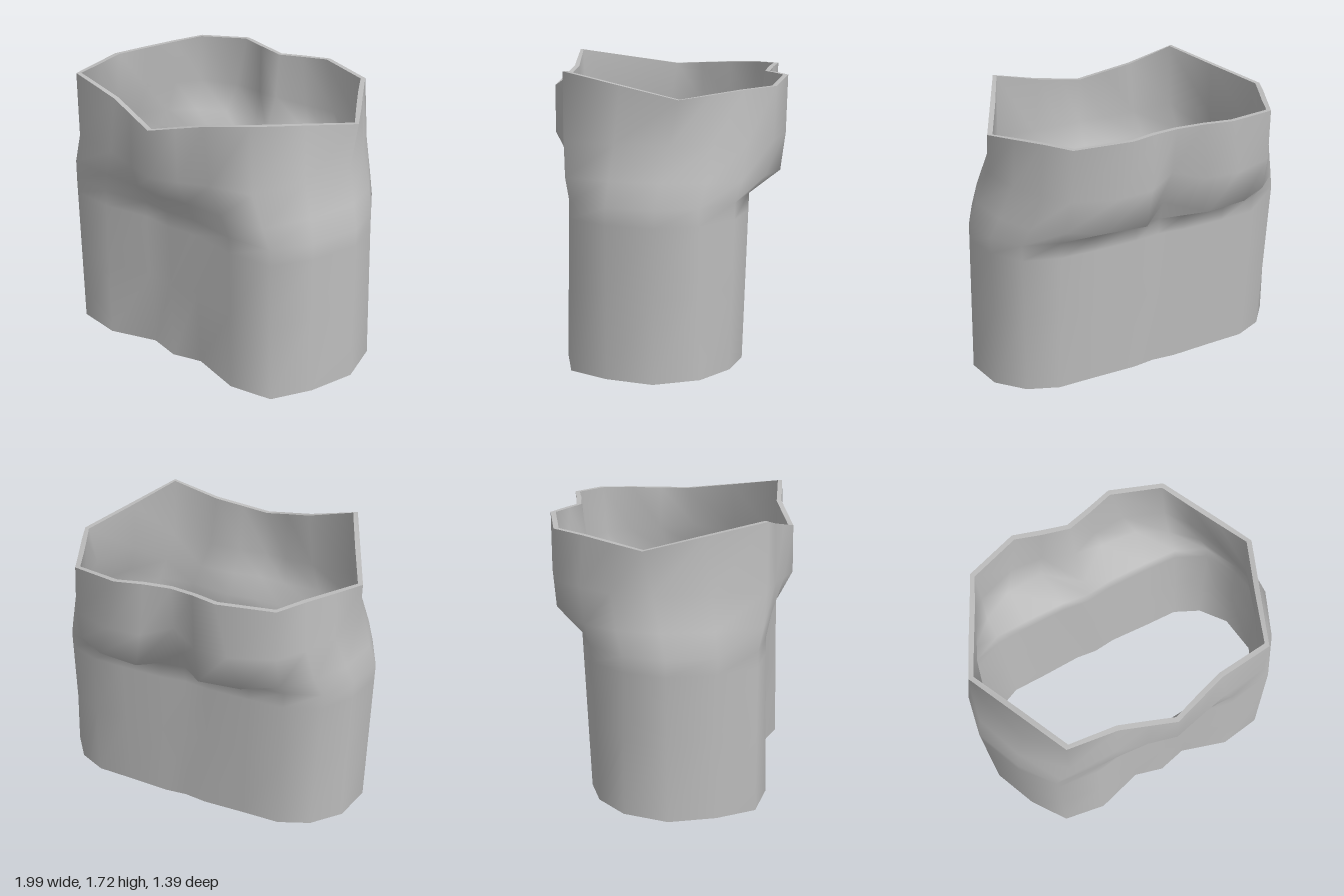
import * as THREE from 'three';

// Half cross-sections [x, y, z], running from front centre round the left side to back centre
const hem = [[0, 0.56], [0.18, 0.515], [0.47, 0.6], [0.73, 0.56], [0.88, 0.35], [0.99, 0.09], [0.95, -0.17],
  [0.81, -0.34], [0.63, -0.42], [0.4, -0.425], [0.14, -0.435], [0, -0.42]].map(([x, z]) => [x, 0.043 - 0.045 * z, z]);
const hip = [[0, 1, 0.555], [0.18, 1, 0.54], [0.46, 1, 0.58], [0.72, 1, 0.555], [0.87, 1, 0.35], [0.985, 1.01, 0.08],
  [0.94, 1.01, -0.16], [0.83, 1.02, -0.36], [0.63, 1.03, -0.45], [0.42, 1.03, -0.46], [0.16, 1.03, -0.46], [0, 1.03, -0.44]];
const seat = [[0, 1.13, 0.63], [0.18, 1.13, 0.605], [0.42, 1.13, 0.605], [0.69, 1.13, 0.58], [0.84, 1.14, 0.33],
  [0.945, 1.15, 0.05], [0.9, 1.14, -0.2], [0.79, 1.13, -0.4], [0.64, 1.13, -0.54], [0.45, 1.125, -0.64],
  [0.2, 1.12, -0.66], [0, 1.15, -0.48]];
const belly = [[0, 1.27, 0.7], [0.17, 1.28, 0.66], [0.36, 1.3, 0.62], [0.63, 1.32, 0.59], [0.78, 1.33, 0.3],
  [0.885, 1.34, 0], [0.83, 1.33, -0.24], [0.74, 1.33, -0.43], [0.63, 1.33, -0.585], [0.38, 1.33, -0.675],
  [0.17, 1.33, -0.66], [0, 1.37, -0.575]];
const waist = [[0, 1.555, 0.695], [0.16, 1.595, 0.65], [0.32, 1.635, 0.605], [0.62, 1.71, 0.59], [0.76, 1.65, 0.27],
  [0.9, 1.59, -0.05], [0.81, 1.605, -0.23], [0.715, 1.62, -0.41], [0.62, 1.63, -0.595], [0.31, 1.655, -0.69],
  [0.15, 1.65, -0.645], [0, 1.64, -0.61]];

const mix = (a, b, t) => a.map((p, i) => p.map((v, k) => v + (b[i][k] - v) * t));
const rows = [hem, mix(hem, hip, 0.5), mix(hem, hip, 0.9), hip, seat, belly, waist];

// Mirror a half section into a closed ring, with the slight lean of the garment
function fullRing(half) {
  const mirrored = half.slice(1, -1).reverse().map(([x, y, z]) => [-x, y, z]);
  return [...half, ...mirrored].map(([x, y, z]) =>
    new THREE.Vector3(x + 0.01 - 0.02 * y, y - 0.022 * x, z));
}

// Skin a stack of closed rings; flip turns the faces inward
function loft(rings, flip = false) {
  const n = rings[0].length;
  const index = [];
  for (let r = 0; r < rings.length - 1; r++) {
    for (let c = 0; c < n; c++) {
      const a = r * n + c, b = r * n + (c + 1) % n;
      const d = a + n, e = b + n;
      if (flip) index.push(a, e, b, a, d, e);
      else index.push(a, b, e, a, e, d);
    }
  }
  const geometry = new THREE.BufferGeometry().setFromPoints(rings.flat());
  geometry.setIndex(index);
  geometry.computeVertexNormals();
  return geometry;
}

export function createModel() {
  const group = new THREE.Group();
  group.name = 'skirt';
  const cloth = new THREE.MeshStandardMaterial({ color: 0xbcbcbc });
  cloth.name = 'greyCloth';

  const add = (name, geometry) => {
    const mesh = new THREE.Mesh(geometry, cloth);
    mesh.name = name;
    group.add(mesh);
  };

  // Outer cloth
  const outer = rows.map(fullRing);
  const outerGeometry = loft(outer);
  add('outerCloth', outerGeometry);

  // Lining, set in horizontally along the outer normals
  const normals = outerGeometry.attributes.normal;
  const n = outer[0].length;
  const inner = outer.map((ring, r) => ring.map((p, c) => {
    const normal = new THREE.Vector3().fromBufferAttribute(normals, r * n + c);
    normal.y = 0;
    return p.clone().addScaledVector(normal.normalize(), -0.03);
  }));
  add('lining', loft(inner, true));

  // Edges closing the cloth thickness at the waist and the hem
  const top = rows.length - 1;
  add('waistEdge', loft([outer[top], inner[top]]));
  add('hemEdge', loft([inner[0], outer[0]]));
  return group;
}
